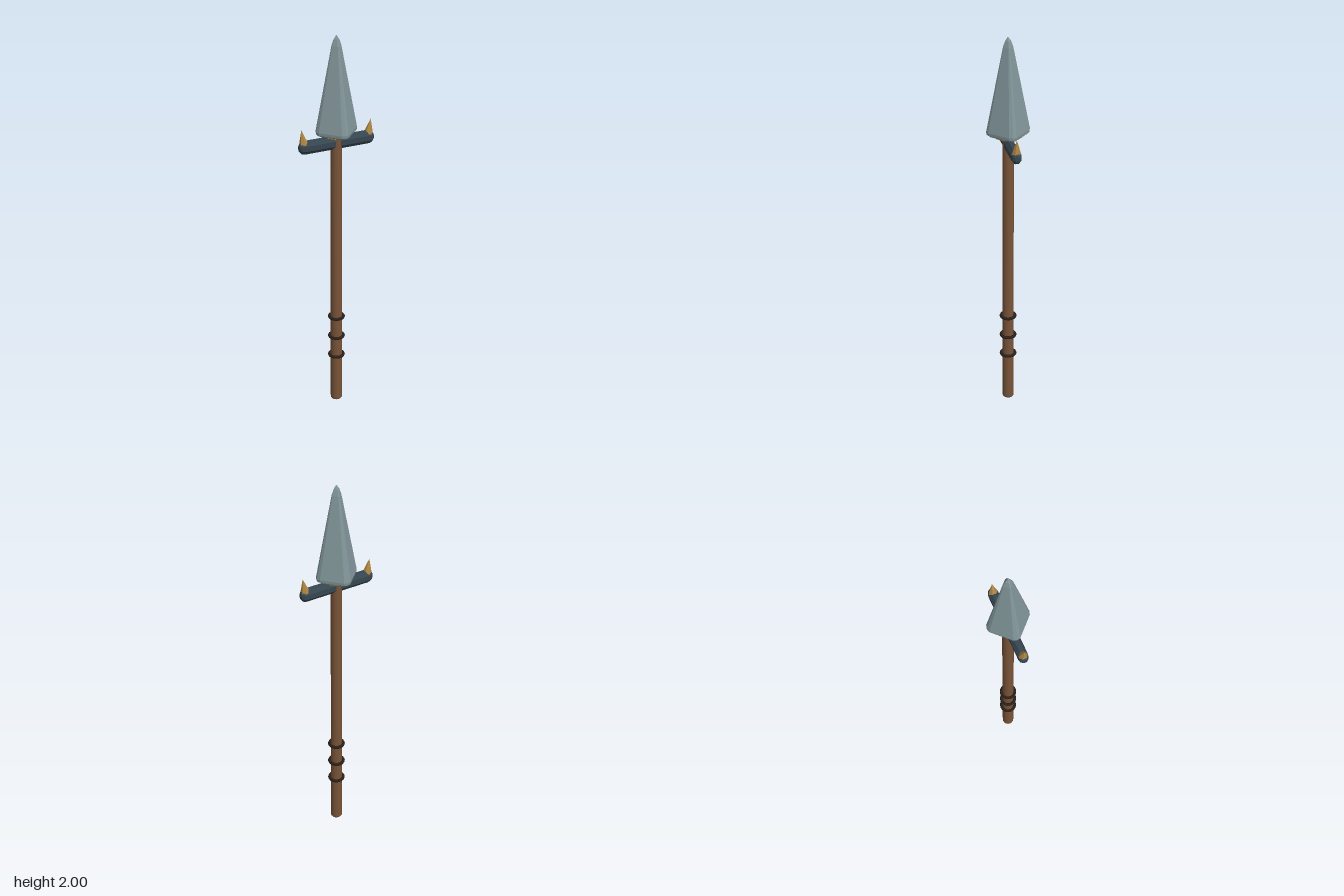
import * as THREE from 'three';

const wood = new THREE.MeshStandardMaterial({ color: 0x785338 });
const cord = new THREE.MeshStandardMaterial({ color: 0x2a1f1a });
const iron = new THREE.MeshStandardMaterial({ color: 0x364650, flatShading: true });
const steel = new THREE.MeshStandardMaterial({ color: 0x82969a, flatShading: true });
const brass = new THREE.MeshStandardMaterial({ color: 0xb08743, flatShading: true });

function lathe(points, sides) {
  return new THREE.LatheGeometry(points.map(([r, y]) => new THREE.Vector2(r, y)), sides);
}

// Square pyramid with bevelled, ridged corners, built from stacked sections
function bladeGeometry() {
  const section = [];
  for (let i = 0; i < 4; i++) {
    for (const [out, side] of [[0.102, 0.018], [0.108, 0], [0.102, -0.018]]) {
      const a = i * Math.PI / 2, c = Math.cos(a), s = Math.sin(a);
      section.push([out * c + side * s, out * s - side * c]);
    }
  }
  const levels = [[0, 1.508], [0.88, 1.508], [0.98, 1.516], [1, 1.53], [0.23, 1.95], [0.13, 1.98], [0, 2]];
  const n = section.length, positions = [], index = [];
  for (const [k, y] of levels) for (const [x, z] of section) positions.push(x * k, y, z * k);
  for (let j = 0; j < levels.length - 1; j++) {
    for (let i = 0; i < n; i++) {
      const a = j * n + i, b = j * n + (i + 1) % n;
      index.push(a, a + n, b, b, a + n, b + n);
    }
  }
  const g = new THREE.BufferGeometry();
  g.setAttribute('position', new THREE.Float32BufferAttribute(positions, 3));
  g.setIndex(index);
  g.computeVertexNormals();
  return g;
}

export function createModel() {
  const group = new THREE.Group();
  const add = (name, geometry, material, x = 0, y = 0) => {
    const mesh = new THREE.Mesh(geometry, material);
    mesh.name = name;
    mesh.position.set(x, y, 0);
    group.add(mesh);
    return mesh;
  };

  // Shaft with a softened butt
  add('shaft', lathe([[0, 0], [0.026, 0], [0.026, 0], [0.03, 0.006], [0.03, 0.012], [0.028, 1.5], [0, 1.5]], 16), wood);

  // Grip rings
  for (const y of [0.267, 0.38, 0.494]) {
    add('gripRing', new THREE.TorusGeometry(0.036, 0.008, 8, 24), cord, 0, y).rotation.x = Math.PI / 2;
  }

  // Crossbar with bevelled ends
  const bar = lathe([[0, -0.197], [0.014, -0.197], [0.026, -0.187], [0.03, -0.172],
    [0.03, 0.172], [0.026, 0.187], [0.014, 0.197], [0, 0.197]], 8);
  bar.rotateY(Math.PI / 8).rotateZ(Math.PI / 2).scale(1, 1.14, 0.88);
  add('crossbar', bar, iron, 0, 1.461);

  // Upright spikes leaning outwards at the bar ends
  for (const side of [-1, 1]) {
    const spike = add(side > 0 ? 'leftSpike' : 'rightSpike',
      new THREE.ConeGeometry(0.023, 0.075, 6), brass, side * 0.178, 1.516);
    spike.rotation.z = -side * 0.16;
  }

  // Collar under the blade
  add('collar', lathe([[0.027, 1.497], [0.06, 1.495], [0.072, 1.502], [0.072, 1.512], [0.06, 1.52], [0, 1.52]], 12), brass);

  add('blade', bladeGeometry(), steel);
  return group;
}
